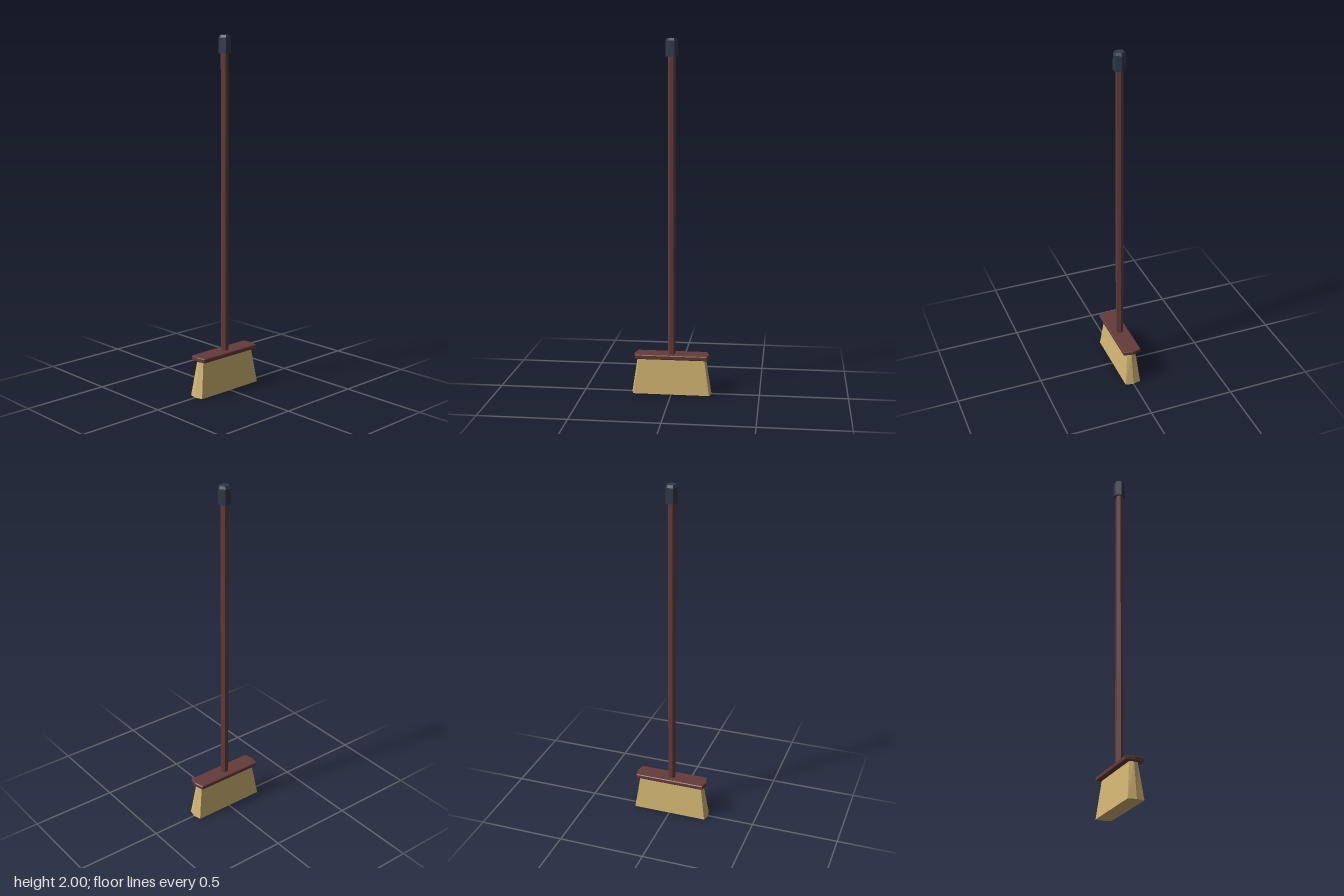
import * as THREE from 'three';

const mat = (name, color) => {
  const m = new THREE.MeshStandardMaterial({ color, flatShading: true });
  m.name = name;
  return m;
};

// Closed solid lofted through pointed-end hexagons; each level is [y, tipX, cornerX, halfZ]
function hexLoft(levels) {
  const rings = levels.map(([y, tip, cx, z]) => [
    [tip, y, 0], [cx, y, -z], [-cx, y, -z], [-tip, y, 0], [-cx, y, z], [cx, y, z],
  ]);
  const pos = [];
  const tri = (...pts) => pts.forEach((p) => pos.push(...p));
  for (let i = 0; i + 1 < rings.length; i++) {
    const a = rings[i], b = rings[i + 1];
    for (let k = 0; k < 6; k++) {
      const n = (k + 1) % 6;
      tri(a[k], a[n], b[n]);
      tri(a[k], b[n], b[k]);
    }
  }
  const low = rings[0], top = rings[rings.length - 1];
  for (let k = 1; k < 5; k++) {
    tri(top[0], top[k], top[k + 1]);
    tri(low[0], low[k + 1], low[k]);
  }
  const g = new THREE.BufferGeometry();
  g.setAttribute('position', new THREE.Float32BufferAttribute(pos, 3));
  g.computeVertexNormals();
  return g;
}

// Regular hexagon prism level of a given radius
const hex = (y, r) => [y, r, r / 2, r * Math.sqrt(3) / 2];

export function createModel() {
  const wood = mat('dark red wood', 0x653b3a);
  const straw = mat('straw', 0xd3b572);
  const rubber = mat('dark blue rubber', 0x2f394a);
  const group = new THREE.Group();
  group.name = 'broom';
  const add = (name, levels, material) => {
    const mesh = new THREE.Mesh(hexLoft(levels), material);
    mesh.name = name;
    group.add(mesh);
  };

  // Flared bristle block
  add('bristles', [[0, 0.228, 0.217, 0.046], [0.21, 0.195, 0.186, 0.024]], straw);

  // Head board with a small bevel on both rims
  add('headBoard', [
    [0.205, 0.21, 0.199, 0.049], [0.209, 0.215, 0.203, 0.053],
    [0.226, 0.215, 0.203, 0.053], [0.23, 0.21, 0.199, 0.049],
  ], wood);

  // Six-sided handle
  add('handle', [hex(0.22, 0.022), hex(1.92, 0.022)], wood);

  // Grip cap with a chamfered top
  add('gripCap', [hex(1.9, 0.0355), hex(1.985, 0.0345), hex(2, 0.027)], rubber);
  return group;
}
